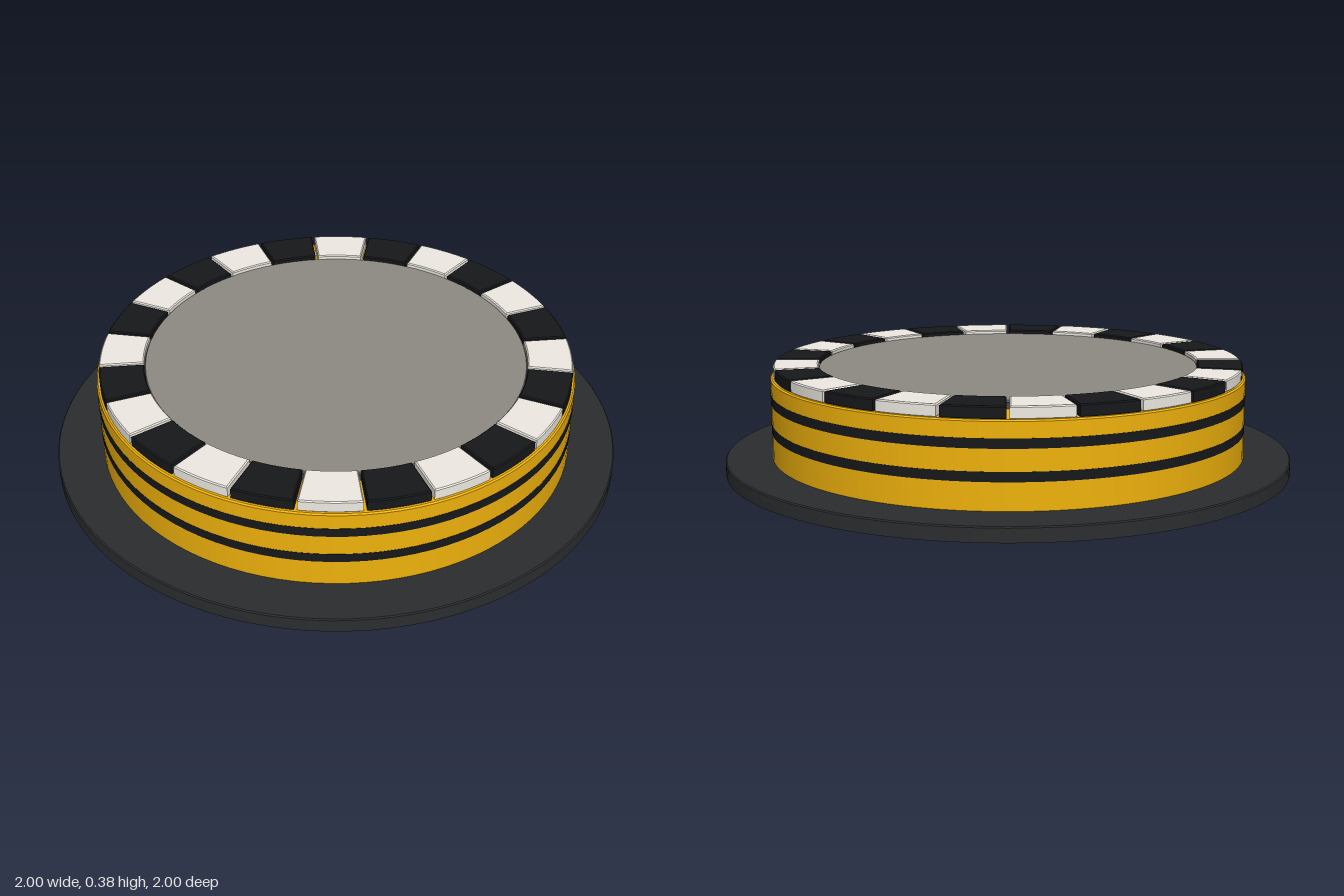
import * as THREE from 'three';
import { toCreasedNormals } from 'three/addons/utils/BufferGeometryUtils.js';

const SEGMENTS = 96;
const BLOCKS = 24;

const paint = (color) => new THREE.MeshStandardMaterial({ color });

// Surface turned around the y axis from [radius, height] points
function turned(name, points, material) {
  const profile = points.map(([r, y]) => new THREE.Vector2(r, y));
  const geometry = toCreasedNormals(new THREE.LatheGeometry(profile, SEGMENTS), 0.5);
  const mesh = new THREE.Mesh(geometry, material);
  mesh.name = name;
  return mesh;
}

// Cap open at the bottom, with a small chamfer on its top rim
const cap = (name, radius, y0, y1, bevel, material) => turned(name, [
  [radius, y0], [radius, y1 - bevel], [radius - bevel, y1], [0, y1],
], material);

// One curved rim block with chamfered edges, lying on y = 0
function blockGeometry(inner, outer, height, gap, bevel) {
  const step = (Math.PI * 2) / BLOCKS;
  const r0 = inner + bevel, r1 = outer - bevel;
  const pad = gap / 2 + bevel;
  const a0 = Math.asin(pad / r0), a1 = Math.asin(pad / r1);
  const shape = new THREE.Shape();
  shape.absarc(0, 0, r1, a1, step - a1, false);
  shape.absarc(0, 0, r0, step - a0, a0, true);
  shape.closePath();
  const geometry = new THREE.ExtrudeGeometry(shape, {
    depth: height - 2 * bevel,
    bevelEnabled: true,
    bevelSize: bevel,
    bevelThickness: bevel,
    bevelSegments: 1,
    curveSegments: 6,
  });
  geometry.translate(0, 0, bevel);
  geometry.rotateX(-Math.PI / 2);
  return toCreasedNormals(geometry, 0.5);
}

export function createModel() {
  const group = new THREE.Group();
  const black = paint(0x17181a);
  const white = paint(0xf0ece4);

  // Base plate: a shallow thin shell, hollow underneath
  const baseMaterial = paint(0x2b2d2f);
  baseMaterial.side = THREE.DoubleSide;
  group.add(cap('basePlate', 1, 0, 0.05, 0.004, baseMaterial));

  // Main drum
  group.add(cap('drum', 0.837, 0.05, 0.335, 0.005, paint(0xf0b20c)));

  // Thin dark bands wrapped around the drum
  for (const y of [0.158, 0.262]) {
    group.add(turned('band', [
      [0.836, y - 0.016], [0.838, y - 0.016], [0.838, y + 0.016], [0.836, y + 0.016],
    ], black));
  }

  // Centre plate set just below the block tops, with its dark edge
  group.add(turned('plateEdge', [[0.675, 0.335], [0.675, 0.355], [0.665, 0.355]], paint(0x4a4a46)));
  group.add(cap('centrePlate', 0.668, 0.335, 0.362, 0.002, paint(0x8e8b83)));

  // Ring of alternating white and black blocks
  const ring = new THREE.Group();
  ring.name = 'blockRing';
  const block = blockGeometry(0.67, 0.826, 0.042, 0.01, 0.004);
  for (let i = 0; i < BLOCKS; i++) {
    const mesh = new THREE.Mesh(block, i % 2 ? black : white);
    mesh.name = i % 2 ? 'blackBlock' : 'whiteBlock';
    mesh.rotation.y = (i / BLOCKS) * Math.PI * 2;
    mesh.position.y = 0.333;
    ring.add(mesh);
  }
  group.add(ring);
  return group;
}
